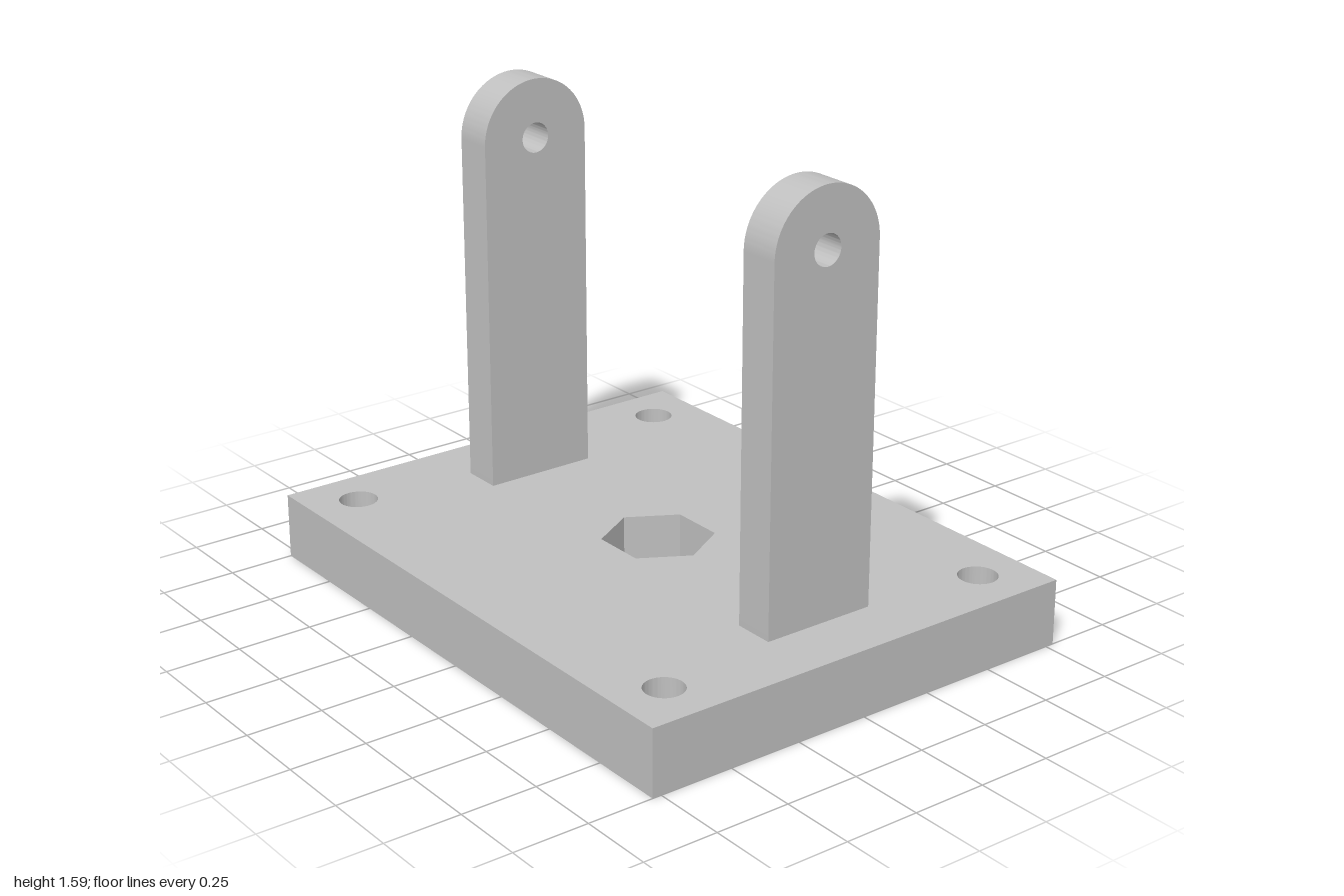
import * as THREE from 'three';
import { toCreasedNormals } from 'three/addons/utils/BufferGeometryUtils.js';

const BASE_H = 0.22, FLOOR_H = 0.045;

const circle = (x, y, r) => new THREE.Path().absarc(x, y, r, 0, Math.PI * 2, true);

// Regular hexagon with corners on the x axis
function hexPoints(r) {
  return Array.from({ length: 6 }, (_, i) =>
    new THREE.Vector2(r * Math.cos(i * Math.PI / 3), r * Math.sin(i * Math.PI / 3)));
}

function extrude(shape, depth) {
  const geo = new THREE.ExtrudeGeometry(shape, { depth, bevelEnabled: false, curveSegments: 40 });
  return toCreasedNormals(geo, 0.4);
}

export function createModel() {
  const model = new THREE.Group();
  model.name = 'bracket';
  const grey = new THREE.MeshStandardMaterial({ color: 0xc0c0c0 });
  grey.name = 'grey';

  const add = (name, geo) => {
    const mesh = new THREE.Mesh(geo, grey);
    mesh.name = name;
    model.add(mesh);
    return mesh;
  };

  // Base plate with four bolt holes and the hexagonal nut pocket
  const plate = new THREE.Shape([
    new THREE.Vector2(-1, -0.78), new THREE.Vector2(1, -0.78),
    new THREE.Vector2(1, 0.78), new THREE.Vector2(-1, 0.78),
  ]);
  for (const sx of [-1, 1]) for (const sz of [-1, 1]) {
    plate.holes.push(circle(sx * 0.83, sz * 0.61, 0.064));
  }
  plate.holes.push(new THREE.Path(hexPoints(0.183)));
  add('basePlate', extrude(plate, BASE_H).rotateX(-Math.PI / 2));

  // Thin pocket floor with the centre hole
  const floor = new THREE.Shape(hexPoints(0.183));
  floor.holes.push(circle(0, 0, 0.095));
  add('pocketFloor', extrude(floor, FLOOR_H).rotateX(-Math.PI / 2));

  // Round-topped uprights with a pivot hole
  const R = 0.195, PIVOT_Y = 1.39, THICK = 0.136;
  const post = new THREE.Shape();
  post.moveTo(-R, BASE_H);
  post.lineTo(R, BASE_H);
  post.lineTo(R, PIVOT_Y);
  post.absarc(0, PIVOT_Y, R, 0, Math.PI, false);
  post.closePath();
  post.holes.push(circle(0, PIVOT_Y, 0.05));
  const postGeo = extrude(post, THICK).rotateY(Math.PI / 2).translate(-THICK / 2, 0, 0);
  add('leftUpright', postGeo).position.x = 0.721;
  add('rightUpright', postGeo).position.x = -0.721;

  return model;
}
